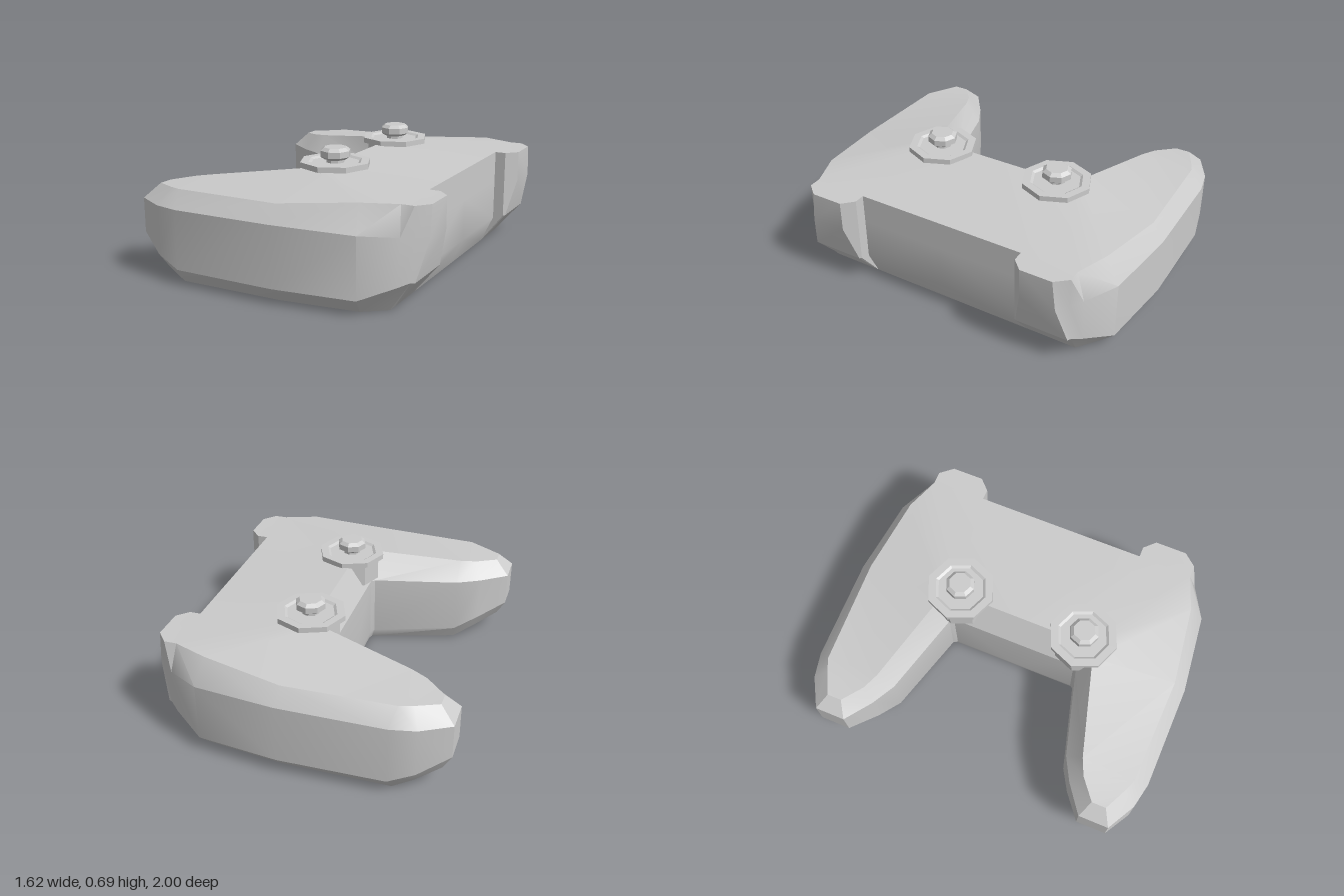
import * as THREE from 'three';
import { toCreasedNormals } from 'three/addons/utils/BufferGeometryUtils.js';

const grey = new THREE.MeshStandardMaterial({ color: 0xcccccc });
const flatGrey = new THREE.MeshStandardMaterial({ color: 0xcccccc, flatShading: true });

// Half outlines [x, z, y]: back centre, inner grip, tip, outer side, shoulder tab, front centre
const top = [
  [.06, 0, .588], [.06, .40, .588], [0, .46, .58], [-.53, .61, .515], [-.62, .65, .505], [-.73, .74, .49],
  [-.73, .82, .49], [-.61, .88, .495], [-.54, .91, .50], [.06, .93, .505], [.49, .87, .55], [.68, .80, .55],
  [.75, .80, .55], [.81, .73, .55], [.81, .55, .55], [.75, .49, .55], [.69, .49, .55], [.69, 0, .55],
];
const upper = [
  [-.03, 0, .415], [-.03, .37, .415], [-.05, .39, .415], [-.53, .52, .41], [-.66, .59, .41], [-.81, .70, .41],
  [-.81, .87, .41], [-.65, .96, .41], [-.51, .99, .41], [.07, 1, .415], [.52, .95, .41], [.70, .85, .40],
  [.75, .80, .38], [.81, .75, .38], [.81, .55, .38], [.75, .49, .38], [.69, .49, .38], [.69, 0, .38],
];
const lower = [
  [-.03, 0, .05], [-.03, .37, .05], [-.05, .39, .06], [-.53, .52, .085], [-.66, .59, .15], [-.81, .70, .22],
  [-.81, .87, .22], [-.65, .96, .14], [-.51, .99, .085], [.07, 1, .085], [.52, .95, .085], [.69, .85, .15],
  [.74, .81, .17], [.76, .80, .17], [.76, .50, .17], [.75, .49, .17], [.69, .49, .15], [.69, 0, .15],
];
const bottom = [
  [-.02, 0, 0], [-.02, .38, 0], [-.03, .41, 0], [-.52, .57, 0], [-.63, .64, .055], [-.76, .74, .12],
  [-.76, .84, .12], [-.63, .90, .055], [-.52, .92, 0], [.07, .92, 0], [.50, .87, 0], [.62, .78, 0],
  [.62, .72, 0], [.62, .70, 0], [.62, .50, 0], [.62, .49, 0], [.62, .49, 0], [.62, 0, 0],
];

// Strips of outline indices that close the top and the bottom
const capStrips = [
  [[5, 6], [4, 7], [3, 8], [2, 9], [1, 10], [1, 11], [16, 11], [16, 12], [16, 13], [16, 14], [16, 15]],
  [[0, 1], [17, 16]],
];

function bodyGeometry() {
  const pos = [];
  const tri = (a, b, c) => {
    const [p, q, r] = [a, b, c].map(([x, z, y]) => new THREE.Vector3(x, y, z));
    if (new THREE.Triangle(p, q, r).getArea() < 1e-7) return;
    pos.push(...p, ...q, ...r);
    // mirrored half
    for (const v of [p, r, q]) pos.push(v.x, v.y, -v.z);
  };
  const quad = (a, b, c, d) => { tri(a, b, c); tri(a, c, d); };

  // walls between neighbouring outlines
  const levels = [bottom, lower, upper, top];
  for (let k = 0; k < 3; k++) {
    const lo = levels[k], hi = levels[k + 1];
    for (let i = 0; i < lo.length - 1; i++) quad(lo[i], lo[i + 1], hi[i + 1], hi[i]);
  }
  // top and bottom caps
  for (const strip of capStrips) {
    for (let i = 0; i < strip.length - 1; i++) {
      const [a, b] = strip[i], [c, d] = strip[i + 1];
      quad(top[a], top[b], top[d], top[c]);
      quad(bottom[c], bottom[d], bottom[b], bottom[a]);
    }
  }
  const geo = new THREE.BufferGeometry();
  geo.setAttribute('position', new THREE.Float32BufferAttribute(pos, 3));
  return toCreasedNormals(geo, Math.PI / 7);
}

// Eight-sided turned part from [radius, height] points, bottom to top
function turned(name, points) {
  const geo = new THREE.LatheGeometry(points.map(([r, y]) => new THREE.Vector2(r, y)), 8);
  const mesh = new THREE.Mesh(geo, flatGrey);
  mesh.name = name;
  return mesh;
}

function thumbstick() {
  const g = new THREE.Group();
  g.add(
    turned('stickSocket', [[0, .45], [.165, .45], [.165, .59]]),
    // flange with a shallow dished centre
    turned('stickFlange', [[0, .583], [.195, .583], [.195, .613], [.15, .613], [.135, .603], [0, .603]]),
    turned('stickNeck', [[.05, .59], [.05, .63]]),
    turned('stickCap', [[0, .62], [.06, .62], [.083, .635], [.083, .668], [.062, .685], [0, .685]]),
  );
  return g;
}

export function createModel() {
  const model = new THREE.Group();
  model.name = 'gamepad';
  const body = new THREE.Mesh(bodyGeometry(), grey);
  body.name = 'body';
  model.add(body);
  for (const side of [1, -1]) {
    const stick = thumbstick();
    stick.name = side > 0 ? 'frontThumbstick' : 'backThumbstick';
    stick.position.set(.092, 0, side * .37);
    model.add(stick);
  }
  return model;
}
